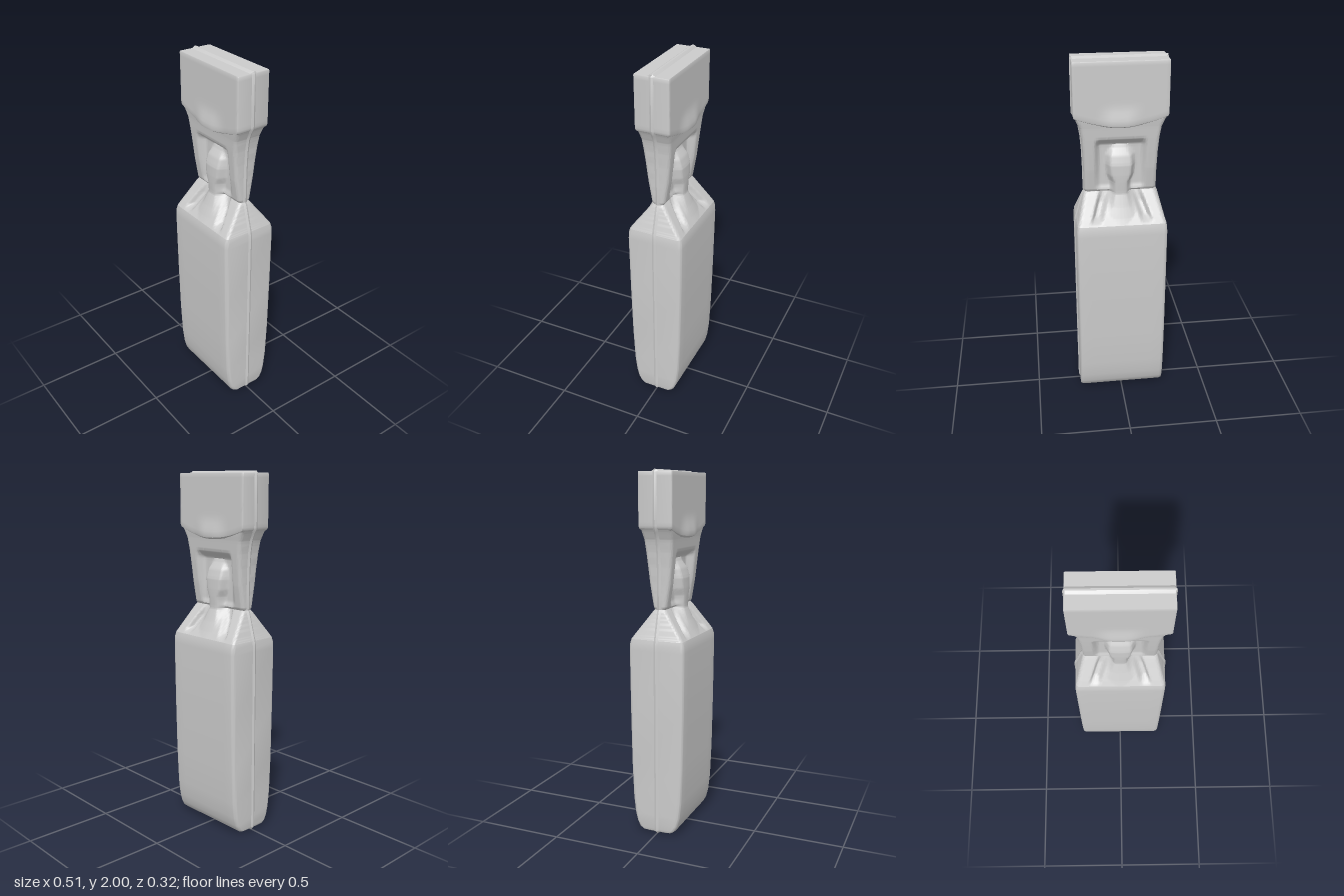
import * as THREE from 'three';
import { toCreasedNormals } from 'three/addons/utils/BufferGeometryUtils.js';

const material = new THREE.MeshStandardMaterial({ color: 0xcccccc });
const { smoothstep, lerp } = THREE.MathUtils;

// Piecewise linear lookup in rows of [y, a, b, ...], sorted by y
function at(rows, y, k = 1) {
  if (y <= rows[0][0]) return rows[0][k];
  for (let i = 1; i < rows.length; i++) {
    const p = rows[i - 1], q = rows[i];
    if (y <= q[0]) return lerp(p[k], q[k], (y - p[0]) / (q[0] - p[0]));
  }
  return rows[rows.length - 1][k];
}

// Extra rows between the key rows
function refine(rows, step) {
  const out = [];
  rows.forEach((p, i) => {
    out.push(p);
    const q = rows[i + 1];
    if (!q) return;
    const n = Math.ceil((q[0] - p[0]) / step);
    for (let j = 1; j < n; j++) out.push(p.map((v, k) => lerp(v, q[k], j / n)));
  });
  return out;
}

// Rounded rectangle cross-section, with many points across front and back
function ring(w, d, radius, across) {
  const r = Math.min(radius, w * 0.9, d * 0.9), pts = [];
  [[1, 1], [-1, 1], [-1, -1], [1, -1]].forEach(([sx, sz], c) => {
    for (let i = 0; i <= 5; i++) {
      const t = (c + i / 5) * Math.PI / 2;
      pts.push([sx * (w - r) + r * Math.cos(t), sz * (d - r) + r * Math.sin(t)]);
    }
    if (c % 2 === 0) {
      for (let i = 1; i < across; i++) pts.push([sx * (w - r) * (1 - 2 * i / across), sz * d]);
    }
  });
  return pts;
}

// Closed skin over a stack of rings of [x, y, z] points
function skin(name, rings, crease = 0.7) {
  const n = rings[0].length, pos = rings.flat(2), idx = [];
  const last = (rings.length - 1) * n, c0 = rings.length * n;
  for (const rg of [rings[0], rings[rings.length - 1]]) {
    pos.push(0, rg.reduce((s, p) => s + p[1], 0) / n, 0);
  }
  for (let j = 0; j < n; j++) {
    const k = (j + 1) % n;
    for (let i = 0; i < last; i += n) {
      idx.push(i + j, i + n + j, i + k, i + k, i + n + j, i + n + k);
    }
    idx.push(c0, j, k, c0 + 1, last + k, last + j);
  }
  const g = new THREE.BufferGeometry();
  g.setAttribute('position', new THREE.Float32BufferAttribute(pos, 3));
  g.setIndex(idx);
  const mesh = new THREE.Mesh(toCreasedNormals(g, crease), material);
  mesh.name = name;
  return mesh;
}

// rows: [y, halfWidth, halfDepth, cornerRadius]; shape(x, y, z) may move points
function loft(name, rows, across, shape = (x, y, z) => [x, y, z]) {
  return skin(name, rows.map(([y, w, d, r]) =>
    ring(w, d, r, across).map(([x, z]) => shape(x, y, z))));
}

const bodyRows = [
  [0.01, 0.238, 0.07, 0.02], [0.016, 0.245, 0.092, 0.02], [0.03, 0.247, 0.108, 0.02],
  [0.06, 0.248, 0.122, 0.02], [0.11, 0.248, 0.134, 0.02], [0.2, 0.248, 0.144, 0.02],
  [0.4, 0.248, 0.152, 0.02], [0.7, 0.248, 0.157, 0.02], [1.05, 0.248, 0.16, 0.02],
  [1.085, 0.247, 0.158, 0.02], [1.11, 0.243, 0.151, 0.02],
];
const shoulderRows = [
  [1.11, 0.243, 0.151, 0.02], [1.14, 0.234, 0.13, 0.02], [1.2, 0.217, 0.085, 0.02],
  [1.255, 0.201, 0.045, 0.02], [1.27, 0.194, 0.033, 0.02],
];
const neckRows = [
  [1.27, 0.192, 0.03, 0.02], [1.28, 0.196, 0.038, 0.02], [1.4, 0.197, 0.058, 0.02],
  [1.5, 0.2, 0.069, 0.02], [1.58, 0.206, 0.077, 0.02], [1.64, 0.216, 0.082, 0.02],
  [1.68, 0.233, 0.088, 0.02], [1.705, 0.246, 0.09, 0.015],
];
const capRows = [
  [1.695, 0.236, 0.08, 0.005], [1.703, 0.247, 0.092, 0.005], [1.715, 0.249, 0.095, 0.005],
  [1.985, 0.249, 0.095, 0.005], [1.99, 0.247, 0.093, 0.005],
];

// Central tear-off rib: [y, halfWidth, depth]
const ribRows = [
  [1.11, 0.105, 0.151], [1.14, 0.092, 0.134], [1.2, 0.066, 0.105], [1.265, 0.05, 0.078],
  [1.28, 0.05, 0.078], [1.33, 0.052, 0.081], [1.37, 0.068, 0.082], [1.43, 0.075, 0.08],
  [1.48, 0.072, 0.064], [1.525, 0.05, 0.034],
];

// Raises the rib above a given depth
function addRib(x, y, depth) {
  const w = at(ribRows, y, 1), top = at(ribRows, y, 2);
  const m = 1 - smoothstep(Math.abs(x), w - 0.024, w + 0.012);
  return lerp(depth, Math.max(depth, top * (1 - 0.1 * (x / w) ** 2)), m);
}

// Arched pocket in the neck with the rounded rib standing in it
function neckShape(x, y, z) {
  const d = at(neckRows, y, 2), ax = Math.abs(x);
  if (Math.abs(z) < d - 1e-4) return [x, y, z];
  const pocket = (1 - smoothstep(ax, 0.105, 0.145)) *
    smoothstep(y, 1.275, 1.31) * (1 - smoothstep(y, 1.53, 1.585));
  let depth = lerp(d, 0.028, pocket);
  if (y < 1.53) depth = addRib(x, y, depth);
  return [x, y, Math.sign(z) * depth];
}

// Two slanting grooves beside the rib on the shoulder
function shoulderShape(x, y, z) {
  const d = at(shoulderRows, y, 2);
  if (Math.abs(z) < d - 1e-4) return [x, y, z];
  const t = (1.27 - y) / 0.15;
  const off = Math.abs(Math.abs(x) - lerp(0.085, 0.14, t));
  const groove = (1 - smoothstep(off, 0.008, 0.036)) * smoothstep(y, 1.112, 1.15);
  const depth = addRib(x, y, d - groove * Math.min(0.035, d * 0.45));
  return [x, y, Math.sign(z) * depth];
}

// Grip tab: bowed lower edge that swells a little at the middle
function capShape(x, y, z) {
  const bow = 1 - (x / 0.25) ** 2, low = 1 - smoothstep(y, 1.72, 1.98);
  const ny = y - 0.05 * bow * low;
  const swell = 0.017 * (1 - smoothstep(Math.abs(x), 0.03, 0.14)) * (1 - smoothstep(ny, 1.66, 1.77));
  return [x, ny, z + Math.sign(z) * swell * Math.min(1, Math.abs(z) / 0.09)];
}

// Moulding seam: thin pointed ridge around the whole outline
function seam() {
  const outline = [...bodyRows, ...shoulderRows.slice(1), ...neckRows.slice(1, -1), ...capRows.slice(1)];
  const section = (y, w, t, e) => [
    [w + e, y, 0], [w - 0.004, y, t], [-w + 0.004, y, t],
    [-w - e, y, 0], [-w + 0.004, y, -t], [w - 0.004, y, -t]];
  return skin('seam', [
    section(0, 0.236, 0.004, 0.002),
    ...outline.map(([y, w]) => section(y, w, 0.02, 0.006)),
    section(2, 0.247, 0.005, 0.004)], 0.4);
}

export function createModel() {
  const group = new THREE.Group();
  group.name = 'singleDoseVial';
  group.add(
    loft('body', bodyRows, 8),
    loft('shoulder', refine(shoulderRows, 0.007), 64, shoulderShape),
    loft('neck', refine(neckRows, 0.008), 64, neckShape),
    loft('gripTab', refine(capRows, 0.02), 32, capShape),
    seam(),
  );
  return group;
}
